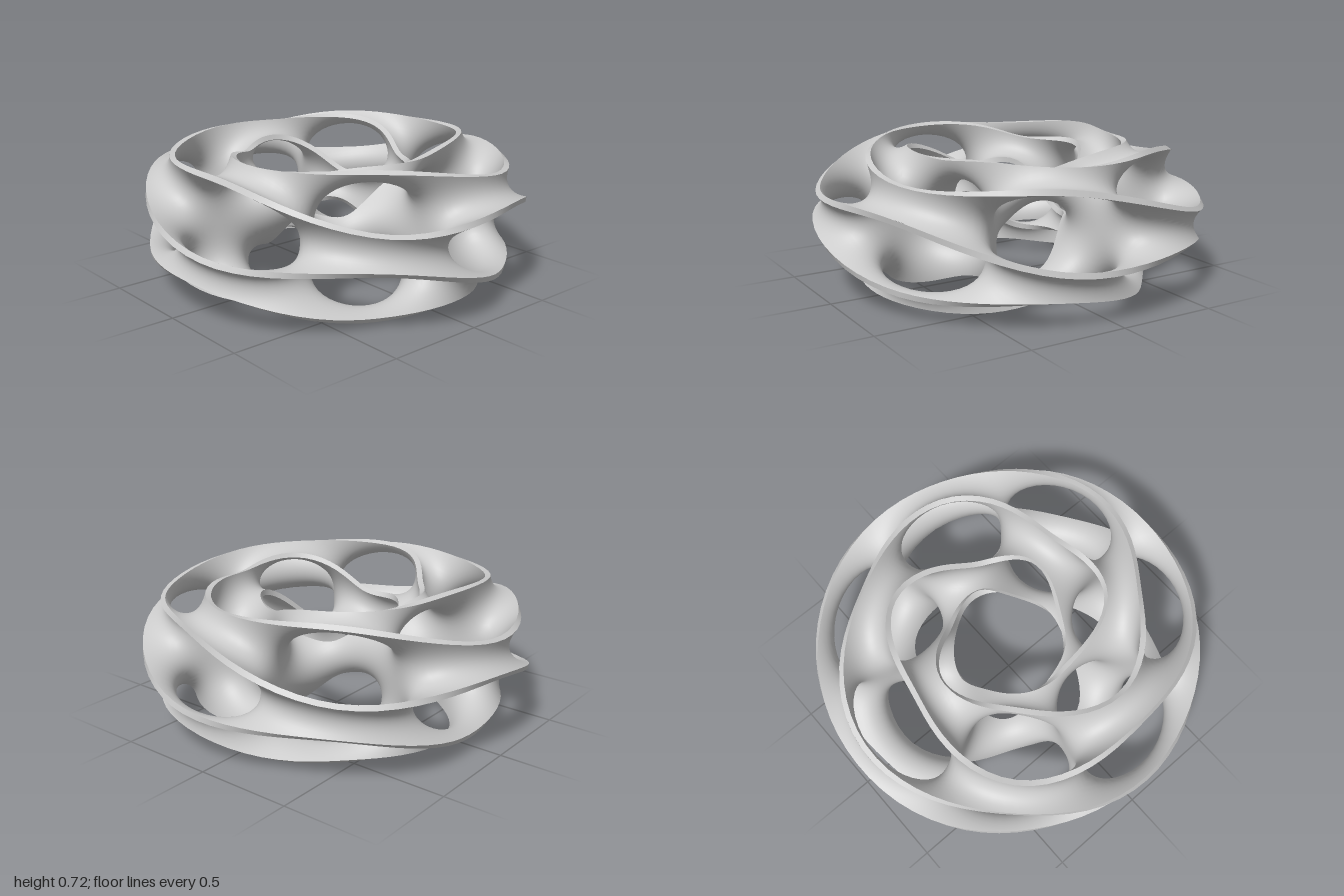
import * as THREE from 'three';

const STORIES = 7;                 // saddles around the ring
const R = 0.645, B = 0.353;        // ring radius, flange reach
const NECK = 0.305;                // distance of the hole rims from the core
const HALF = 0.014;                // half thickness of the sheet
const TWIST = 135 / 360;           // flange rotation per turn of the ring
const CENTRE_Y = 0.36;
const N4 = NECK ** 4;

// Angles around one saddle: eight hole arcs alternating with eight flange edges
function saddleAngles() {
  const q = N4 / B ** 4, holeHalf = Math.acos(q) / 4, list = [];
  const holeSteps = 10, edgeSteps = 10;
  for (let f = 0; f < 8; f++) {
    const c = f * Math.PI / 4;
    for (let i = 0; i < holeSteps; i++) {
      list.push({ t: c - holeHalf + 2 * holeHalf * i / holeSteps, edge: false });
    }
    for (let i = 0; i < edgeSteps; i++) {
      const s = 1 - 2 * i / edgeSteps;
      list.push({ t: c + Math.acos(q * Math.sin(s * Math.PI / 2)) / 4, edge: true });
    }
  }
  return list;
}

// Point, sheet normal and outward direction on saddle j, at polar place (r, t)
function surfacePoint(j, r, t) {
  const sign = j % 2 ? -1 : 1;
  const v = THREE.MathUtils.clamp(r ** 4 * Math.cos(4 * t) / N4, -1, 1);
  const lift = sign * Math.asin(v);                    // -90..90 degrees along the story
  const psi = (2 * Math.PI * j + 2 * lift) / STORIES;
  const phi = t + TWIST * psi;
  const d = r * Math.cos(phi), y = r * Math.sin(phi);
  const out = new THREE.Vector3(Math.cos(psi), 0, Math.sin(psi));
  const up = new THREE.Vector3(0, 1, 0);
  const along = new THREE.Vector3(-Math.sin(psi), 0, Math.cos(psi));
  const p = out.clone().multiplyScalar(R + d).addScaledVector(up, CENTRE_Y + y);

  // gradient of r^4 cos(4t) - NECK^4 sin(story phase)
  const a = 4 * t - phi;
  const gAlong = (4 * TWIST * r ** 4 * Math.sin(4 * t)
    - STORIES / 2 * N4 * sign * Math.cos(lift)) / (R + d);
  const n = out.clone().multiplyScalar(4 * r ** 3 * Math.cos(a))
    .addScaledVector(up, -4 * r ** 3 * Math.sin(a))
    .addScaledVector(along, gAlong)
    .normalize().multiplyScalar(-sign);
  const radial = out.multiplyScalar(Math.cos(phi)).addScaledVector(up, Math.sin(phi));
  radial.addScaledVector(n, -radial.dot(n)).normalize();
  return { p, n, radial };
}

// One saddle as a thick sheet: two faces plus the rims of the flanges
function saddleGeometry(j, angles) {
  const rings = 14, count = angles.length;
  const pos = [], nor = [], index = [];
  const add = (s, side, normal) => {
    const p = s.p.clone().addScaledVector(s.n, side * HALF);
    pos.push(p.x, p.y, p.z);
    nor.push(normal.x, normal.y, normal.z);
  };
  const grid = [];
  for (let i = 0; i <= rings; i++) {
    for (const { t } of angles) {
      const reach = Math.min(B, NECK / Math.max(Math.abs(Math.cos(4 * t)), 1e-6) ** 0.25);
      grid.push(surfacePoint(j, reach * Math.sin(i / rings * Math.PI / 2), t));
    }
  }
  // both faces
  for (const side of [1, -1]) {
    const base = pos.length / 3;
    for (const s of grid) add(s, side, s.n.clone().multiplyScalar(side));
    for (let i = 0; i < rings; i++) {
      for (let k = 0; k < count; k++) {
        const k1 = (k + 1) % count;
        const a = base + i * count + k, b = base + (i + 1) * count + k;
        const c = base + (i + 1) * count + k1, d = base + i * count + k1;
        const tris = i ? [[a, b, c], [a, c, d]] : [[a, b, c]];
        for (const [u, v, w] of tris) side > 0 ? index.push(u, v, w) : index.push(u, w, v);
      }
    }
  }
  // rims
  const base = pos.length / 3;
  for (let k = 0; k < count; k++) {
    const s = grid[rings * count + k];
    add(s, 1, s.radial);
    add(s, -1, s.radial);
  }
  angles.forEach(({ edge }, k) => {
    if (!edge) return;
    const p0 = base + 2 * k, p1 = base + 2 * ((k + 1) % count);
    index.push(p0 + 1, p1 + 1, p1, p0 + 1, p1, p0);
  });

  const geometry = new THREE.BufferGeometry();
  geometry.setAttribute('position', new THREE.Float32BufferAttribute(pos, 3));
  geometry.setAttribute('normal', new THREE.Float32BufferAttribute(nor, 3));
  geometry.setIndex(index);
  return geometry;
}

export function createModel() {
  const group = new THREE.Group();
  group.name = 'twistedSaddleRing';
  const material = new THREE.MeshStandardMaterial({ color: 0xcccccc });
  const angles = saddleAngles();
  for (let j = 0; j < STORIES; j++) {
    const mesh = new THREE.Mesh(saddleGeometry(j, angles), material);
    mesh.name = `saddle${j + 1}`;
    group.add(mesh);
  }
  return group;
}
